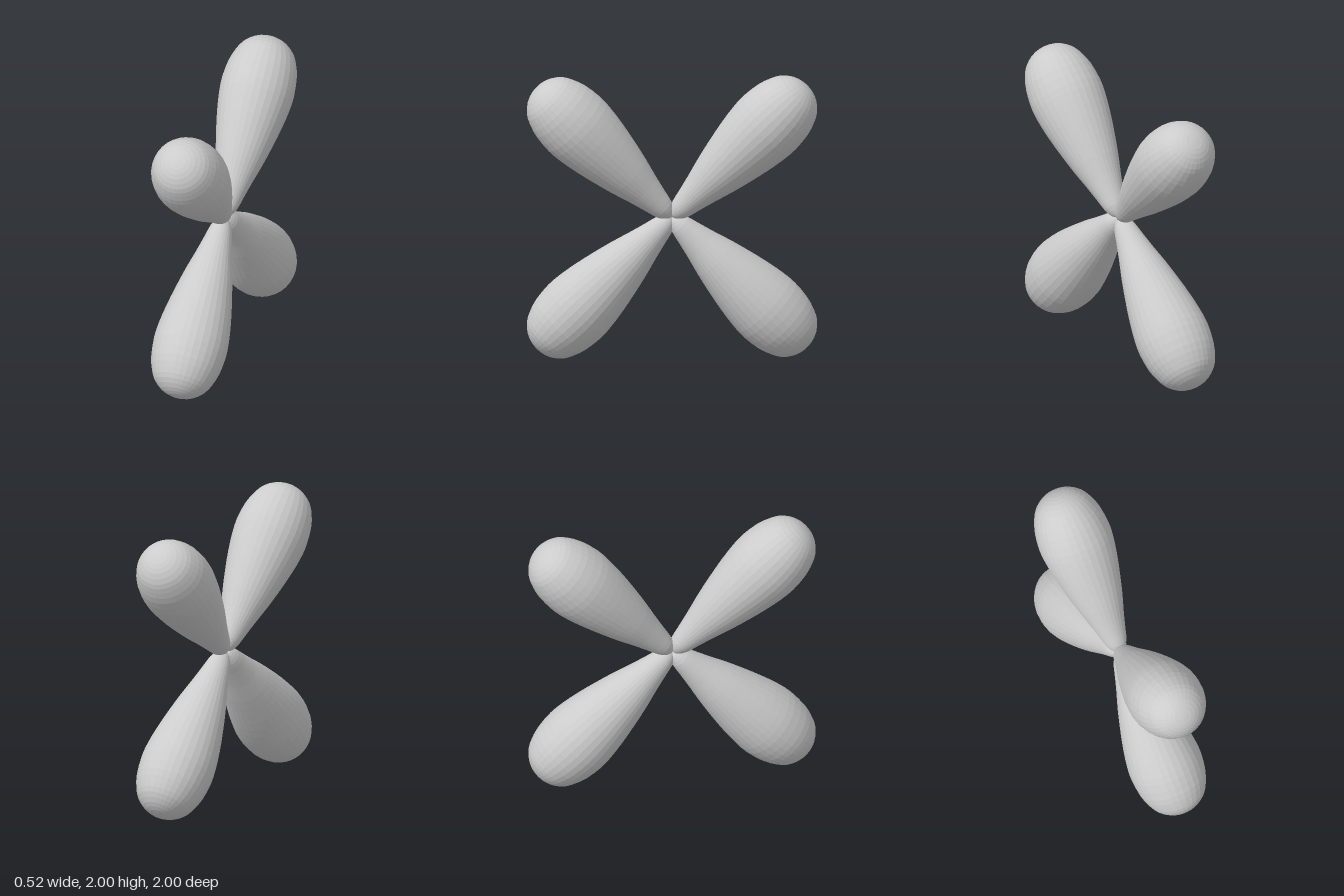
import * as THREE from 'three';

// Teardrop profile: [radius, distance from the centre]
const PROFILE = [
  [0, 0], [0.028, 0.01], [0.05, 0.03], [0.076, 0.08], [0.096, 0.16],
  [0.128, 0.285], [0.166, 0.42], [0.201, 0.566], [0.231, 0.71], [0.251, 0.84],
  [0.258, 0.95], [0.244, 1.08], [0.215, 1.17], [0.18, 1.234],
  [0.122, 1.285], [0.06, 1.311], [0, 1.318],
];

export function createModel() {
  const model = new THREE.Group();
  model.name = 'fourLobes';

  const material = new THREE.MeshStandardMaterial({ color: 0xcccccc, flatShading: true });
  const curve = new THREE.SplineCurve(PROFILE.map(([r, d]) => new THREE.Vector2(r, d)));
  const points = curve.getPoints(32).map((p) => new THREE.Vector2(Math.max(0, p.x), p.y));
  const lobeGeometry = new THREE.LatheGeometry(points, 32);

  // Four lobes meeting at the centre, on the diagonals of the y-z plane
  const names = ['upperFrontLobe', 'lowerFrontLobe', 'lowerBackLobe', 'upperBackLobe'];
  names.forEach((name, i) => {
    const lobe = new THREE.Mesh(lobeGeometry, material);
    lobe.name = name;
    lobe.position.y = 1;
    lobe.rotation.x = Math.PI / 4 + (i * Math.PI) / 2;
    model.add(lobe);
  });

  return model;
}
